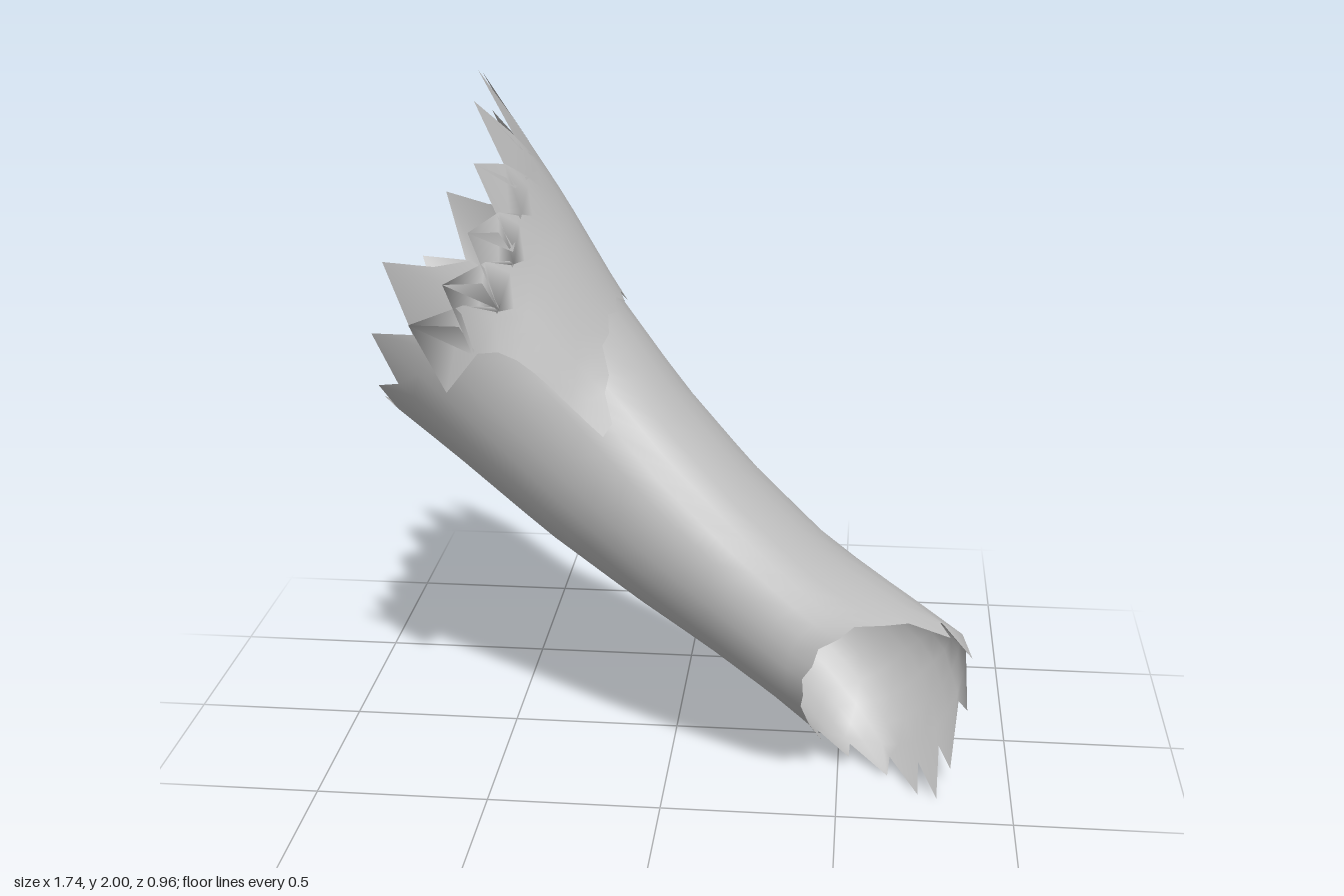
import * as THREE from 'three';

// Sleeve sections: bottom x,y / top x,y / back z, front z
const RINGS = [
  [-0.86, 1.06, -0.53, 1.92, -0.45, 0.37],
  [-0.65, 0.88, -0.34, 1.63, -0.40, 0.32],
  [-0.37, 0.67, -0.17, 1.38, -0.30, 0.35],
  [-0.10, 0.51, 0.03, 1.13, -0.225, 0.42],
  [0.12, 0.39, 0.23, 0.92, -0.14, 0.465],
  [0.30, 0.27, 0.46, 0.71, -0.075, 0.48],
  [0.40, 0.17, 0.70, 0.545, -0.025, 0.43],
  [0.48, 0.07, 0.87, 0.43, 0.03, 0.40],
  [0.58, -0.01, 0.91, 0.29, 0.14, 0.39],
  [0.66, -0.03, 0.89, 0.13, 0.32, 0.42],
];

// Point on the arm surface: t runs shoulder to wrist, a = 0 on top, +90 degrees at the front
function surface(t, a, grow = 1) {
  const i = THREE.MathUtils.clamp(Math.floor(t), 0, RINGS.length - 2);
  const r = RINGS[i].map((v, k) => v + (RINGS[i + 1][k] - v) * (t - i));
  const c = Math.cos(a) * grow, s = Math.sin(a) * grow;
  return [
    (r[0] + r[2]) / 2 + c * (r[2] - r[0]) / 2,
    (r[1] + r[3]) / 2 + c * (r[3] - r[1]) / 2,
    (r[4] + r[5]) / 2 + s * (r[5] - r[4]) / 2,
  ];
}

// Repeatable variation for the torn edges
const vary = (i) => 0.65 + 0.35 * Math.sin(i * 2.7 + 1);
const tooth = (i) => (i % 2 ? 1 : -0.6) * vary(i);

// Grid of cols x rows quads, closed around when wrap is set
function sheet(name, material, cols, rows, wrap, point) {
  const pos = [], index = [], w = rows + 1;
  const n = wrap ? cols : cols + 1;
  for (let i = 0; i < n; i++)
    for (let j = 0; j <= rows; j++) pos.push(...point(i, j / rows));
  for (let i = 0; i < cols; i++)
    for (let j = 0; j < rows; j++) {
      const a = i * w + j, b = ((i + 1) % n) * w + j;
      index.push(a, b, a + 1, b, b + 1, a + 1);
    }
  const geo = new THREE.BufferGeometry();
  geo.setAttribute('position', new THREE.Float32BufferAttribute(pos, 3));
  geo.setIndex(index);
  geo.computeVertexNormals();
  const mesh = new THREE.Mesh(geo, material);
  mesh.name = name;
  return mesh;
}

export function createModel() {
  const cloth = new THREE.MeshStandardMaterial({ color: 0xbcbcbc, side: THREE.DoubleSide });
  cloth.name = 'grey cloth';
  const group = new THREE.Group();
  group.name = 'tornSleeve';
  const { smoothstep, lerp } = THREE.MathUtils;

  // Open sleeve: cut back on top at the shoulder, back wall curls round the wrist opening
  const COLS = 28;
  group.add(sheet('sleeve', cloth, COLS, 18, true, (i, f) => {
    const a = (i / COLS) * Math.PI * 2;
    const c = Math.cos(a), s = Math.sin(a);
    const start = 0.08 + 1.72 * smoothstep(c, 0.2, 0.85);
    const end = 6.8 - 1.8 * s + 0.2 * s * s;
    let t = start + (end - start) * f;
    if (f === 0) t -= (c > 0.3 ? 0.12 : c < -0.6 ? 0.25 : 0.42) * tooth(i);
    if (f === 1) t += (s > 0.4 ? 0.06 : 0.6) * tooth(i);
    return surface(t, a);
  }));

  // Shoulder cap: a loose torn sheet over the sleeve, flaring away from it at front and back
  const CAP = 18;
  group.add(sheet('shoulderCap', cloth, CAP, 8, false, (i, f) => {
    const k = i / CAP;
    const front = lerp(1.8, 1.2, f) - 0.33 * Math.sin(Math.PI * Math.sqrt(f));
    const a = lerp(-1.27, front, k);
    const s = Math.sin(a);
    const start = 0.3 + 0.3 * smoothstep(s, 0.3, 1) + 0.1 * smoothstep(-s, 0.4, 1);
    const end = 2.03 + 0.3 * smoothstep(k, 0.7, 1);
    // Teeth fade out along the sheet so the rows never cross
    let t = start + (end - start) * f - 0.58 * tooth(i) * (1 - f) ** 5;
    if (f === 1) t += 0.08 * tooth(i);
    const p = surface(t, a, 1.04);
    const flare = 0.12 - 0.06 * Math.max(0, t - 1);
    p[2] += s > 0 ? s * flare : s * (flare - 0.08);
    return p;
  }));
  return group;
}
